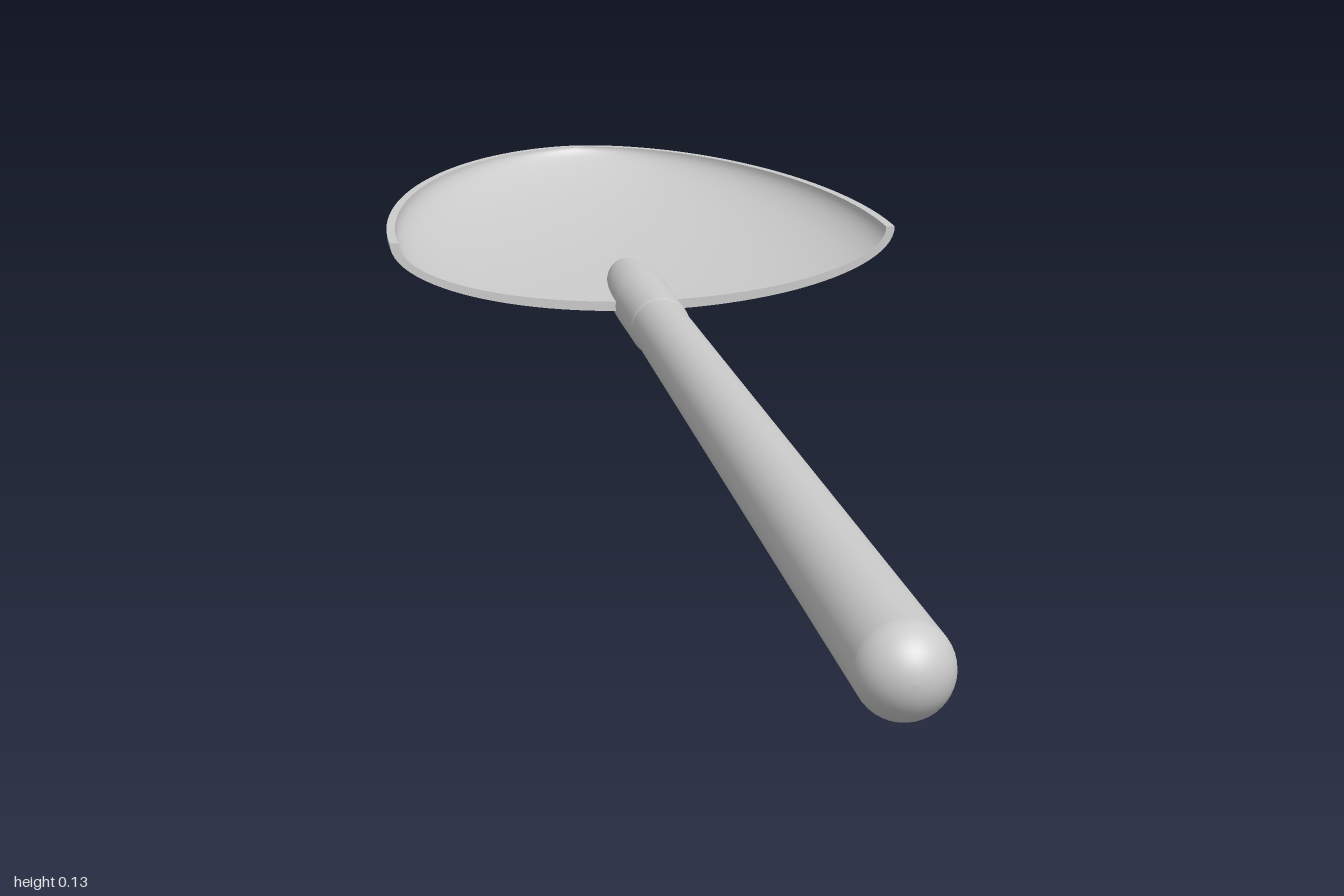
import * as THREE from 'three';

const BACK = -0.43, RIM = 0.128, AXIS = 0.046;

// One skin of the blade: half-elliptic sections that shrink towards the tip
function bladePoint(halfWidth, depth, length, a, t) {
  const f = Math.pow(Math.max(0, 1 - Math.pow(t, 1.9)), 0.54);
  return [halfWidth * f * Math.sin(a), RIM - depth * f * Math.cos(a), BACK - length * t];
}

// Grid surface from a point function p(u, v)
function surface(p, nu, nv, flip) {
  const pos = [], idx = [];
  for (let j = 0; j <= nv; j++) for (let i = 0; i <= nu; i++) pos.push(...p(i / nu, j / nv));
  for (let j = 0; j < nv; j++) for (let i = 0; i < nu; i++) {
    const a = j * (nu + 1) + i, b = a + 1, c = a + nu + 1, d = c + 1;
    if (flip) idx.push(a, c, b, b, c, d);
    else idx.push(a, b, c, b, d, c);
  }
  const g = new THREE.BufferGeometry();
  g.setAttribute('position', new THREE.Float32BufferAttribute(pos, 3));
  g.setIndex(idx);
  g.computeVertexNormals();
  return g;
}

// Profile of [radius, z] points spun about the z axis
function spun(points) {
  const g = new THREE.LatheGeometry(points.map(([r, z]) => new THREE.Vector2(r, z)), 40);
  return g.rotateX(Math.PI / 2).translate(0, AXIS, 0);
}

export function createModel() {
  const group = new THREE.Group();
  const solid = new THREE.MeshStandardMaterial({ color: 0xcccccc });
  const sheet = new THREE.MeshStandardMaterial({ color: 0xcccccc, side: THREE.DoubleSide });
  const add = (name, geometry, material, parent = group) => {
    const mesh = new THREE.Mesh(geometry, material);
    mesh.name = name;
    parent.add(mesh);
  };

  // Blade: outer and inner skins, top rim and open back edge
  const blade = new THREE.Group();
  blade.name = 'blade';
  group.add(blade);
  const ang = u => (u - 0.5) * Math.PI;
  const ease = v => Math.sin(v * Math.PI / 2);
  const outer = (a, t) => bladePoint(0.291, 0.088, 0.57, a, t);
  const inner = (a, t) => bladePoint(0.281, 0.077, 0.56, a, t);
  const mix = (p, q, k) => p.map((n, i) => n + (q[i] - n) * k);
  add('bladeUnderside', surface((u, v) => outer(ang(u), ease(v)), 48, 40, false), sheet, blade);
  add('bladeScoop', surface((u, v) => inner(ang(u), ease(v)), 48, 40, true), sheet, blade);
  add('bladeBackEdge', surface((u, v) => mix(outer(ang(u), 0), inner(ang(u), 0), v), 48, 1, false), sheet, blade);
  for (const s of [-1, 1]) {
    const a = s * Math.PI / 2;
    add(s > 0 ? 'leftRim' : 'rightRim',
      surface((u, v) => mix(outer(a, ease(u)), inner(a, ease(u)), v), 40, 1, s < 0), sheet, blade);
  }

  // Handle: long taper with a round butt
  const handle = [[0, -0.32], [0.032, -0.32]];
  for (let i = 0; i <= 12; i++) {
    const a = i / 12 * Math.PI / 2;
    handle.push([0.044 * Math.cos(a), 0.956 + 0.044 * Math.sin(a)]);
  }
  add('handle', spun(handle), solid);

  // Socket: sleeve that narrows to a point and rises onto the blade
  const socket = [];
  for (let i = 0; i <= 24; i++) {
    const t = Math.sin(i / 24 * Math.PI / 2);
    socket.push([0.034 * Math.pow(t, 0.75) * (i ? 1 : 0), -0.6 + 0.16 * (1 - Math.cos(i / 24 * Math.PI / 2))]);
  }
  socket.push([0.034, -0.32], [0.032, -0.315]);
  const socketGeometry = spun(socket);
  const p = socketGeometry.attributes.position;
  for (let i = 0; i < p.count; i++) {
    const k = Math.max(0, (-0.44 - p.getZ(i)) / 0.16);
    p.setY(i, p.getY(i) + 0.005 * k * k);
  }
  socketGeometry.computeVertexNormals();
  add('socket', socketGeometry, solid);

  return group;
}
